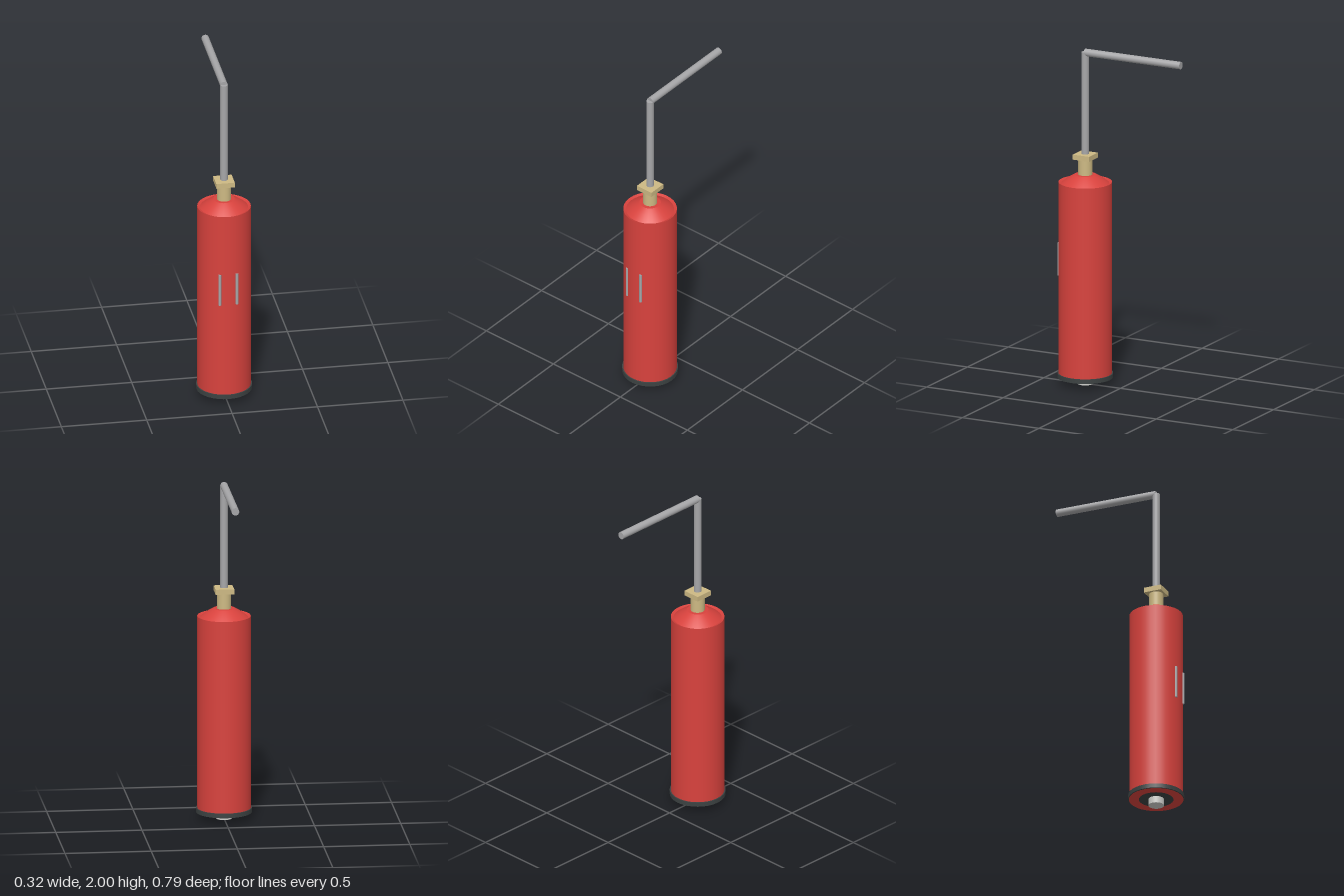
import * as THREE from 'three';

const mat = (name, color) => Object.assign(new THREE.MeshStandardMaterial({ color }), { name });

export function createModel() {
  const red = mat('red paint', 0xd8423d);
  const steel = mat('steel', 0xa6a6a8);
  const brass = mat('brass', 0xcdb983);
  const dark = mat('dark rubber', 0x3c4242);
  const pale = mat('pale metal', 0xcfcfcb);

  const model = new THREE.Group();
  model.name = 'gasCylinder';
  const axisZ = 0.23; // the tank stands forward, under the end of the arm

  const add = (name, geometry, material, x, y, z) => {
    const mesh = new THREE.Mesh(geometry, material);
    mesh.name = name;
    mesh.position.set(x, y, z);
    model.add(mesh);
    return mesh;
  };
  // upright cylinder between two heights
  const post = (name, r, y0, y1, material, x = 0, z = axisZ, open = false) =>
    add(name, new THREE.CylinderGeometry(r, r, y1 - y0, 32, 1, open), material, x, (y0 + y1) / 2, z);
  const lathe = (name, points) =>
    add(name, new THREE.LatheGeometry(points.map(p => new THREE.Vector2(...p)), 32), red, 0, 0, axisZ);

  // tank: wall, narrow sunken rim, sloping shoulder and its flat top
  post('tankWall', 0.155, 0.05, 1.205, red, 0, axisZ, true);
  lathe('tankRim', [[0.155, 1.205], [0.139, 1.198]]);
  lathe('shoulder', [[0.139, 1.198], [0.1, 1.228], [0.062, 1.25]]);
  lathe('shoulderTop', [[0.062, 1.25], [0, 1.25]]);

  // foot ring, underside and drain plug
  post('footRing', 0.162, 0.04, 0.066, dark);
  const underside = add('underside', new THREE.RingGeometry(0.1, 0.158, 32), red, 0, 0.038, axisZ);
  underside.rotation.x = Math.PI / 2;
  post('drainPlug', 0.045, 0, 0.042, pale);

  // valve neck and square collar
  post('valveNeck', 0.041, 1.24, 1.35, brass);
  add('valveCollar', new THREE.BoxGeometry(0.108, 0.03, 0.108), brass, 0, 1.358, axisZ);

  // riser and horizontal arm
  post('riserPipe', 0.022, 1.37, 1.98, steel);
  const arm = add('armPipe', new THREE.CylinderGeometry(0.022, 0.022, 0.625, 32), steel, 0, 1.978, -0.0825);
  arm.rotation.x = Math.PI / 2;

  // two slim bars on the front of the tank
  for (const side of [-1, 1]) post('frontBar', 0.008, 0.64, 0.835, steel, side * 0.05, 0.377);

  return model;
}
